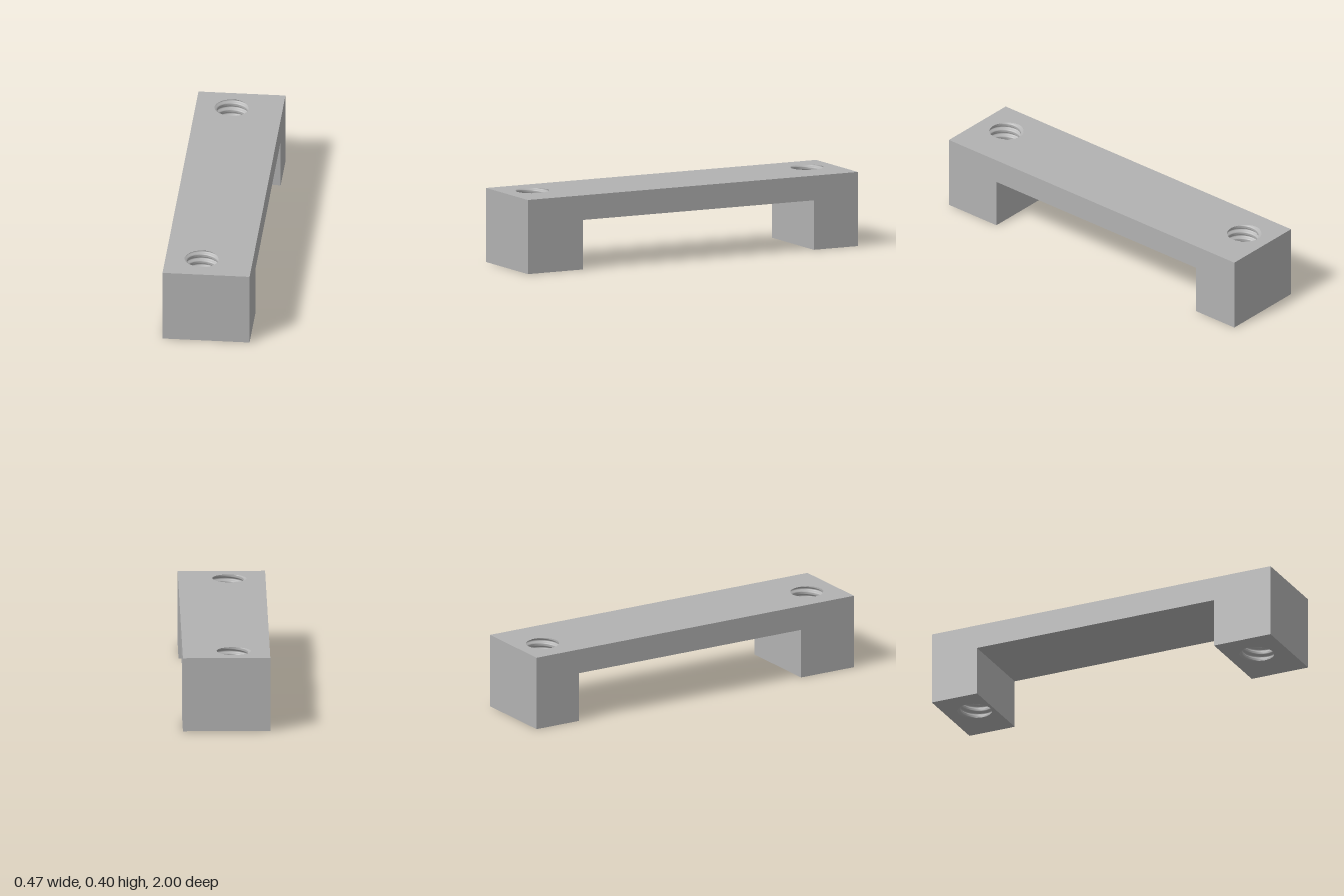
import * as THREE from 'three';

const W = 0.233, H = 0.4, UNDER = 0.267;      // half width, height, underside of the bridge
const FRONT_IN = 0.667, BACK_IN = -0.733;     // inner faces of the two feet
const HOLE_X = -0.033, HOLE_Z = 0.833;
const MINOR = 0.084, DEPTH = 0.016, PITCH = 0.04, SEG = 48, ROWS = 160;

// Helical groove cut into a round hole
function threadRadius(phi, y) {
  const t = y / PITCH - phi / (2 * Math.PI) + 0.375;
  const f = Math.abs(t - Math.round(t));
  return MINOR + DEPTH * THREE.MathUtils.clamp((0.3 - f) / 0.2, 0, 1);
}

// Inner surface of one threaded hole, facing its axis
function threadGeometry() {
  const pos = [], index = [];
  for (let j = 0; j <= ROWS; j++) {
    const y = (H * j) / ROWS;
    for (let i = 0; i < SEG; i++) {
      const phi = (i / SEG) * 2 * Math.PI, r = threadRadius(phi, y);
      pos.push(r * Math.cos(phi), y, -r * Math.sin(phi));
      if (j === ROWS) continue;
      const a = j * SEG + i, b = j * SEG + ((i + 1) % SEG);
      index.push(a, a + SEG, b, b, a + SEG, b + SEG);
    }
  }
  const g = new THREE.BufferGeometry();
  g.setAttribute('position', new THREE.Float32BufferAttribute(pos, 3));
  g.setIndex(index);
  g.computeVertexNormals();
  return g;
}

// Horizontal face between z0 and z1 with openings; shape y is -z
function plate(z0, z1, y, holes, down) {
  const s = new THREE.Shape([[-W, -z1], [W, -z1], [W, -z0], [-W, -z0]].map(p => new THREE.Vector2(...p)));
  for (const z of holes) {
    const pts = [];
    for (let i = 0; i < SEG; i++) {
      const phi = (i / SEG) * 2 * Math.PI, r = threadRadius(phi, y);
      pts.push(new THREE.Vector2(HOLE_X + r * Math.cos(phi), -z + r * Math.sin(phi)));
    }
    s.holes.push(new THREE.Path(pts));
  }
  const g = new THREE.ShapeGeometry(s);
  if (down) {
    const ix = g.index.array;
    for (let i = 0; i < ix.length; i += 3) [ix[i], ix[i + 1]] = [ix[i + 1], ix[i]];
    g.computeVertexNormals();
  }
  return g.rotateX(-Math.PI / 2).translate(0, y, 0);
}

// Upright face across the width, looking along +z or -z
function wall(z, y0, dir) {
  const g = new THREE.PlaneGeometry(2 * W, H - y0);
  if (dir < 0) g.rotateY(Math.PI);
  return g.translate(0, (H + y0) / 2, z);
}

// Side of the bridge and feet; the outline is mirrored for the other side
function side(dir) {
  const outline = [[-1, 0], [-FRONT_IN, 0], [-FRONT_IN, UNDER], [-BACK_IN, UNDER],
    [-BACK_IN, 0], [1, 0], [1, H], [-1, H]];
  const s = new THREE.Shape(outline.map(([u, y]) => new THREE.Vector2(dir * u, y)));
  return new THREE.ShapeGeometry(s).rotateY((dir * Math.PI) / 2).translate(dir * W, 0, 0);
}

// Inner upright face of a foot, below the bridge
function footInner(z, dir) {
  const g = new THREE.PlaneGeometry(2 * W, UNDER);
  if (dir < 0) g.rotateY(Math.PI);
  return g.translate(0, UNDER / 2, z);
}

export function createModel() {
  const group = new THREE.Group();
  const grey = new THREE.MeshStandardMaterial({ color: 0xb2b2b2 });
  grey.name = 'grey';
  const add = (name, geometry) => {
    const mesh = new THREE.Mesh(geometry, grey);
    mesh.name = name;
    group.add(mesh);
    return mesh;
  };

  // Bridge
  add('top', plate(-1, 1, H, [-HOLE_Z, HOLE_Z], false));
  add('bridgeUnderside', plate(BACK_IN, FRONT_IN, UNDER, [], true));
  add('leftSide', side(1));
  add('rightSide', side(-1));
  add('frontEnd', wall(1, 0, 1));
  add('backEnd', wall(-1, 0, -1));

  // Feet
  add('frontFootInner', footInner(FRONT_IN, -1));
  add('backFootInner', footInner(BACK_IN, 1));
  add('frontFootBase', plate(FRONT_IN, 1, 0, [HOLE_Z], true));
  add('backFootBase', plate(-1, BACK_IN, 0, [-HOLE_Z], true));

  // Threaded holes
  const thread = threadGeometry();
  add('frontThreadedHole', thread).position.set(HOLE_X, 0, HOLE_Z);
  add('backThreadedHole', thread).position.set(HOLE_X, 0, -HOLE_Z);
  return group;
}
